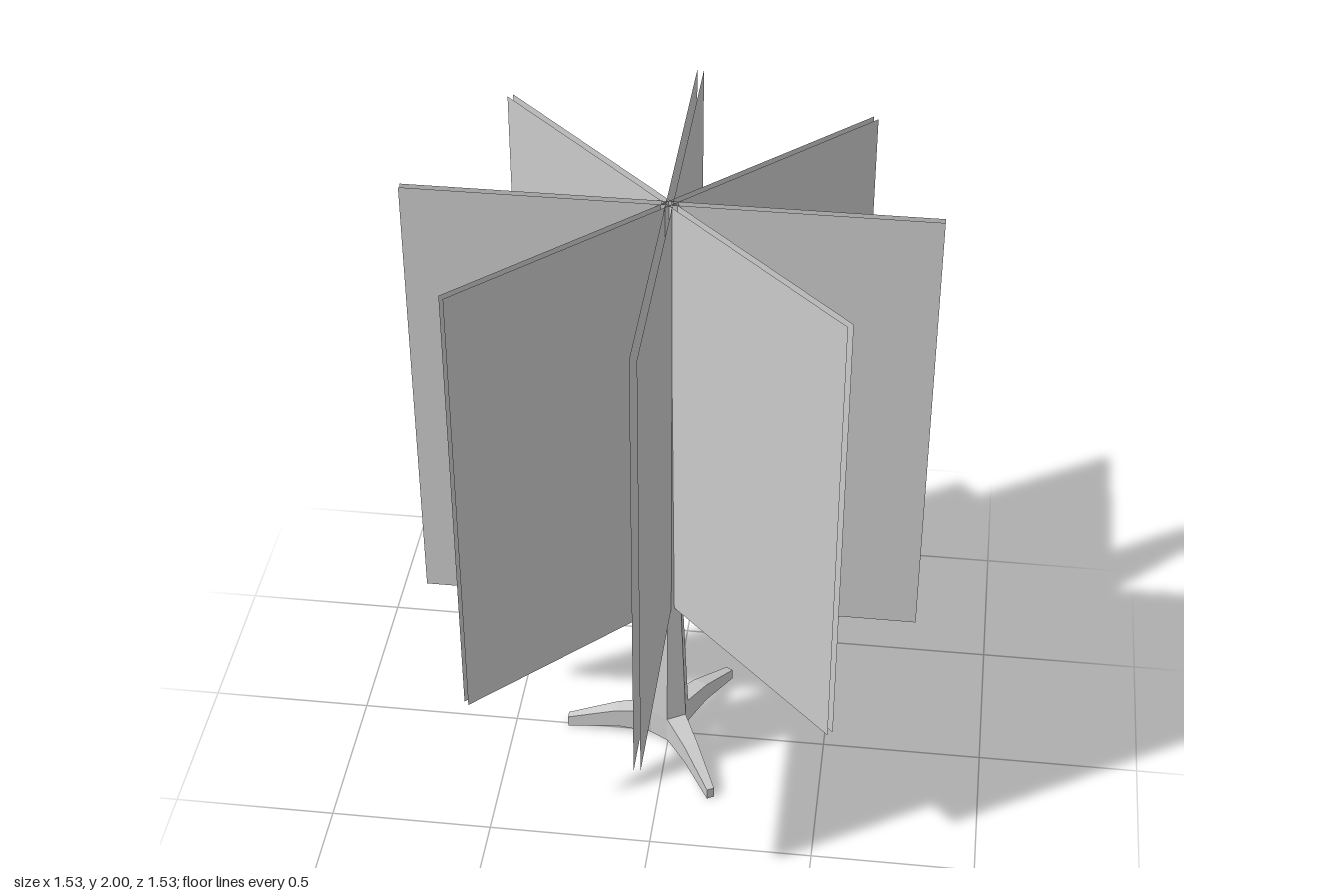
import * as THREE from 'three';

const material = new THREE.MeshStandardMaterial({ color: 0xcccccc, flatShading: true });
const sheetMaterial = new THREE.MeshStandardMaterial({ color: 0xcccccc, side: THREE.DoubleSide });

// Six-sided tapering post, with its hub at the foot
function createPost() {
  const profile = [
    [0, 0.022], [0.065, 0.022], [0.065, 0.112], [0.044, 0.56], [0.029, 1.53], [0, 1.53],
  ].map(([r, y]) => new THREE.Vector2(r, y));
  const post = new THREE.Mesh(new THREE.LatheGeometry(profile, 6), material);
  post.name = 'post';
  return post;
}

// Foot that bends down and narrows towards its tip, running along +x
function createLegGeometry() {
  const stations = [
    { x: 0.055, bottom: 0.022, top: 0.112, half: 0.032 },
    { x: 0.17, bottom: 0.027, top: 0.092, half: 0.023 },
    { x: 0.33, bottom: 0, top: 0.037, half: 0.012 },
  ];
  const geometry = new THREE.BoxGeometry(2, 2, 2, 2, 1, 1);
  const p = geometry.attributes.position;
  for (let i = 0; i < p.count; i++) {
    const s = stations[Math.round(p.getX(i)) + 1];
    p.setXYZ(i, s.x, p.getY(i) > 0 ? s.top : s.bottom, p.getZ(i) * s.half);
  }
  geometry.computeVertexNormals();
  return geometry;
}

export function createModel() {
  const model = new THREE.Group();
  model.name = 'displayStand';
  model.add(createPost());

  // Three feet, one of them pointing to -x
  const legGeometry = createLegGeometry();
  for (let i = 0; i < 3; i++) {
    const leg = new THREE.Mesh(legGeometry, material);
    leg.name = 'leg';
    leg.rotation.y = Math.PI / 3 + (i * Math.PI * 2) / 3;
    model.add(leg);
  }

  // Four crossing panels, each a pair of open sheets with a narrow gap
  const bottom = 0.555, top = 2, gap = 0.02;
  const sheetGeometry = new THREE.PlaneGeometry(1.53, top - bottom);
  for (let i = 0; i < 4; i++) {
    const panel = new THREE.Group();
    panel.name = 'panel';
    panel.rotation.y = (i * Math.PI) / 4;
    for (const side of [1, -1]) {
      const sheet = new THREE.Mesh(sheetGeometry, sheetMaterial);
      sheet.name = 'panelSheet';
      sheet.position.set(0, (bottom + top) / 2, (side * gap) / 2);
      if (side < 0) sheet.rotation.y = Math.PI;
      panel.add(sheet);
    }
    model.add(panel);
  }
  return model;
}
